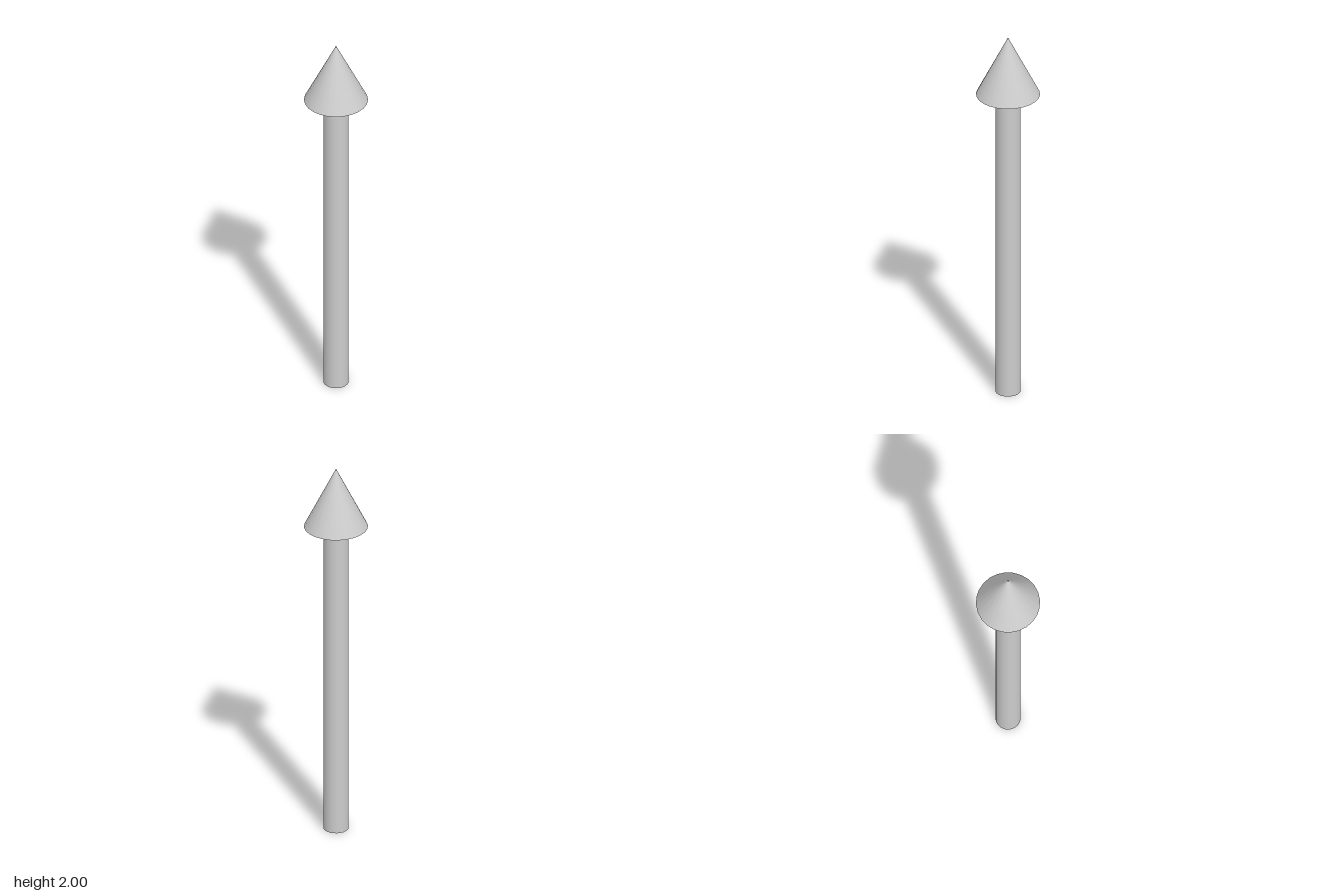
import * as THREE from 'three';

const SIDES = 24;
const SHAFT_HEIGHT = 1.68;
const HEAD_HEIGHT = 0.32;

export function createModel() {
  const group = new THREE.Group();
  group.name = 'arrow';
  const material = new THREE.MeshStandardMaterial({ color: 0xcccccc });

  // Straight round shaft standing on the ground
  const shaft = new THREE.Mesh(
    new THREE.CylinderGeometry(0.063, 0.063, SHAFT_HEIGHT, SIDES), material);
  shaft.name = 'shaft';
  shaft.position.y = SHAFT_HEIGHT / 2;

  // Conical head with a flat underside
  const head = new THREE.Mesh(
    new THREE.ConeGeometry(0.16, HEAD_HEIGHT, SIDES), material);
  head.name = 'arrowHead';
  head.position.y = SHAFT_HEIGHT + HEAD_HEIGHT / 2;

  group.add(shaft, head);
  return group;
}
